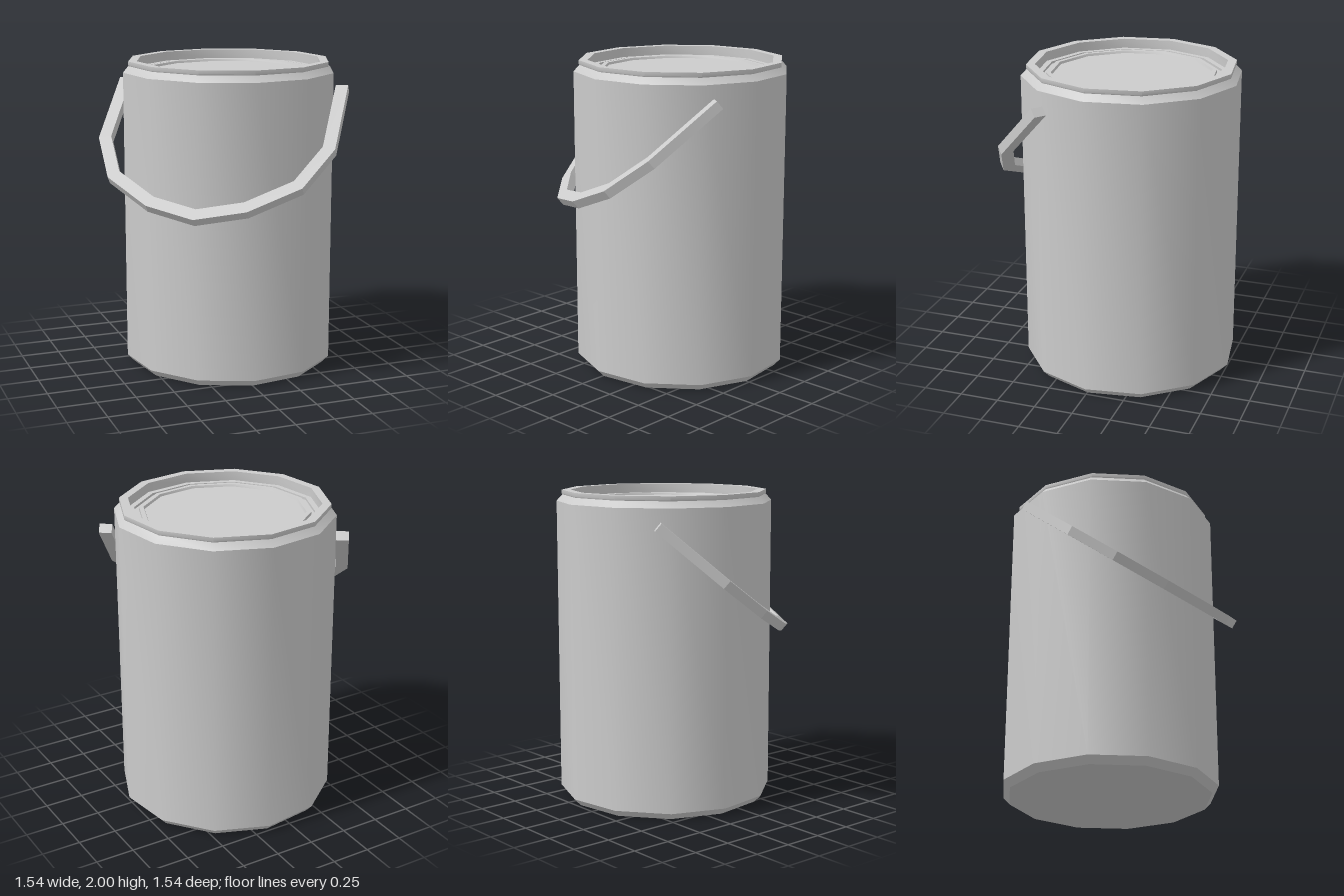
import * as THREE from 'three';
import { toCreasedNormals } from 'three/addons/utils/BufferGeometryUtils.js';

const SIDES = 12;
const PHI = THREE.MathUtils.degToRad(23.4);
const material = new THREE.MeshStandardMaterial({ color: 0xcccccc });

// Twelve-sided turned part: smooth around, sharp at the profile corners
function turned(name, profile) {
  const points = profile.map(([r, y]) => new THREE.Vector2(r, y));
  const lathe = new THREE.LatheGeometry(points, SIDES, PHI);
  const mesh = new THREE.Mesh(toCreasedNormals(lathe, 0.6), material);
  mesh.name = name;
  mesh.position.set(0.08, 0, -0.08);
  return mesh;
}

// Closed outline that follows a path with a constant mitred width
function band(path, width) {
  const left = [], right = [];
  path.forEach((p, i) => {
    const a = path[Math.max(i - 1, 0)], b = path[Math.min(i + 1, path.length - 1)];
    const before = (i ? p.clone().sub(a) : b.clone().sub(p)).normalize();
    const after = (i < path.length - 1 ? b.clone().sub(p) : p.clone().sub(a)).normalize();
    const n1 = new THREE.Vector2(-before.y, before.x);
    const n2 = new THREE.Vector2(-after.y, after.x);
    const mitre = n1.clone().add(n2).normalize();
    mitre.multiplyScalar(width / 2 / mitre.dot(n1));
    left.push(p.clone().add(mitre));
    right.unshift(p.clone().sub(mitre));
  });
  return new THREE.Shape([...left, ...right]);
}

function makeHandle() {
  // Half of the bail, from its end to its middle, then mirrored
  const half = [[0.733, 0], [0.735, 0.525], [0.595, 0.825], [0.305, 1.02]];
  const path = [...half, [0, 1.1], ...half.map(([u, w]) => [-u, w]).reverse()]
    .map(([u, w]) => new THREE.Vector2(u, w));
  const thickness = 0.06;
  const geometry = new THREE.ExtrudeGeometry(band(path, 0.08), { depth: thickness, bevelEnabled: false });
  geometry.translate(0, 0, -thickness / 2);

  // The bail hangs forward and down, turned about the can
  const across = new THREE.Vector3(0.805, 0, 0.593).normalize();
  const down = new THREE.Vector3(-0.454, -0.643, 0.617).normalize();
  const normal = across.clone().cross(down);
  geometry.applyMatrix4(new THREE.Matrix4().makeBasis(across, down, normal).setPosition(0.13, 1.825, -0.145));

  const mesh = new THREE.Mesh(geometry, material);
  mesh.name = 'handle';
  return mesh;
}

export function createModel() {
  const model = new THREE.Group();
  model.name = 'can';

  // Body with chamfered ends, raised rim and inner rim wall
  model.add(turned('body', [
    [0, 0], [0.65, 0], [0.692, 0.045], [0.692, 1.93], [0.655, 1.97],
    [0.658, 1.975], [0.658, 2], [0.602, 2], [0.602, 1.94],
  ]));

  // Recessed lid with stepped rings
  model.add(turned('lid', [
    [0.602, 1.94], [0.565, 1.94], [0.565, 1.925], [0.535, 1.925],
    [0.535, 1.945], [0.506, 1.945], [0.5, 1.93], [0, 1.93],
  ]));

  model.add(makeHandle());
  return model;
}
